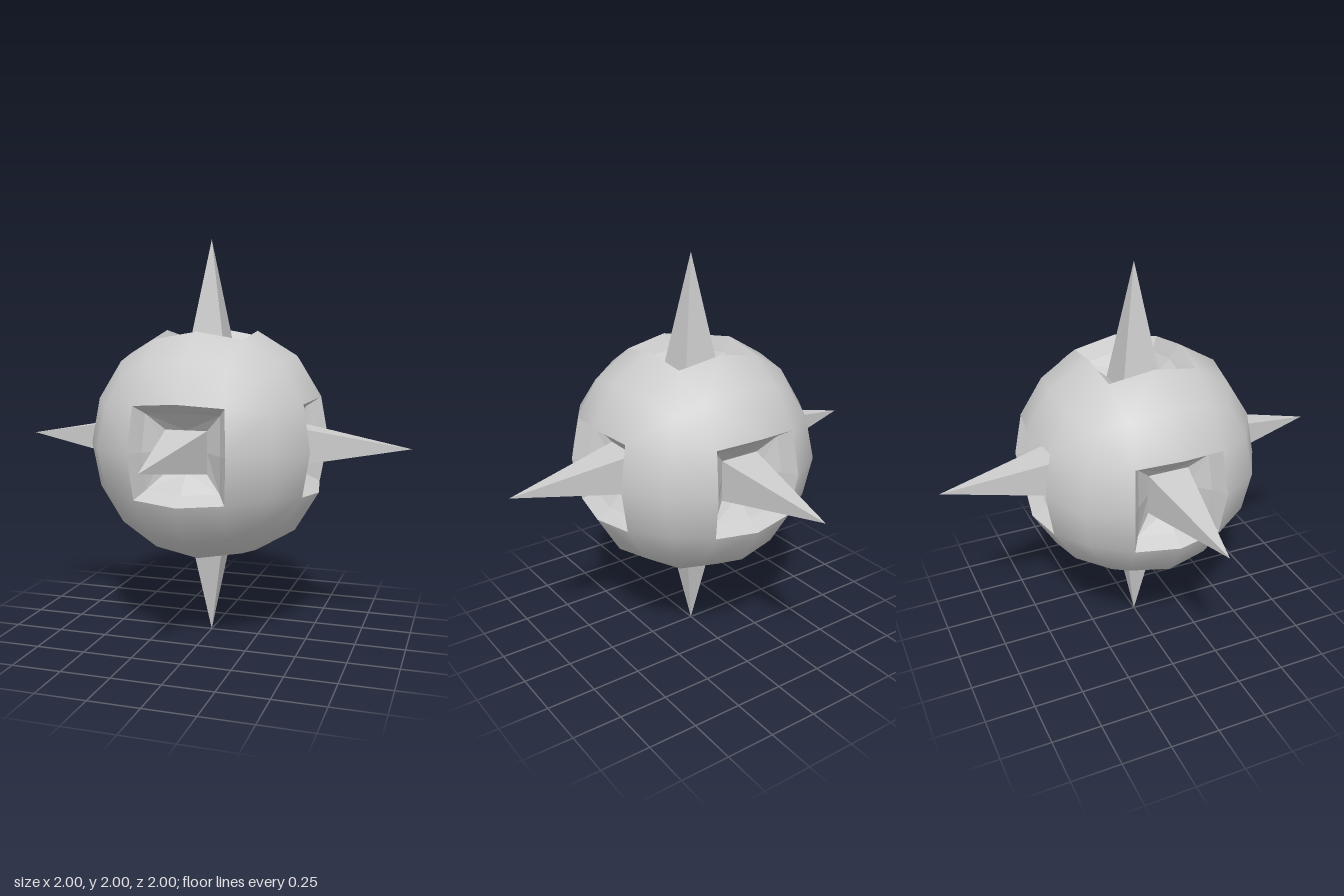
import * as THREE from 'three';

const material = new THREE.MeshStandardMaterial({ color: 0xcccccc });
const flatMaterial = new THREE.MeshStandardMaterial({ color: 0xcccccc, flatShading: true });

// Rounded-cube lattice for one +z face: [along i, along j, outward], keyed by |i||j|
const LATTICE = {
  '10': [0.237, 0, 0.555], '11': [0.221, 0.221, 0.517],
  '20': [0.436, 0, 0.436], '21': [0.406, 0.204, 0.406], '22': [0.345, 0.345, 0.345],
};

function latticePoint(i, j) {
  const a = Math.abs(i), b = Math.abs(j);
  const [major, minor, out] = LATTICE[`${Math.max(a, b)}${Math.min(a, b)}`];
  return [Math.sign(i) * (a >= b ? major : minor), Math.sign(j) * (a >= b ? minor : major), out];
}

function quadGeometry(quads) {
  const geometry = new THREE.BufferGeometry();
  const positions = quads.flatMap(([a, b, c, d]) => [a, b, c, a, c, d]).flat();
  geometry.setAttribute('position', new THREE.Float32BufferAttribute(positions, 3));
  geometry.computeVertexNormals();
  return geometry;
}

// Curved shell panel: 4 x 4 cells with the middle 2 x 2 left open
function shellGeometry() {
  const quads = [];
  for (let i = -2; i < 2; i++) {
    for (let j = -2; j < 2; j++) {
      if (i >= -1 && i < 1 && j >= -1 && j < 1) continue;
      const q = [latticePoint(i, j), latticePoint(i + 1, j), latticePoint(i + 1, j + 1), latticePoint(i, j + 1)];
      // Start at the corner that sends the diagonal across the cell symmetrically
      quads.push(i * 2 + 1 > 0 === j * 2 + 1 > 0 ? q : [q[1], q[2], q[3], q[0]]);
    }
  }
  const geometry = quadGeometry(quads);
  // Radial normals keep the ball smooth across panel seams
  const p = geometry.attributes.position, v = new THREE.Vector3();
  for (let k = 0; k < p.count; k++) {
    v.fromBufferAttribute(p, k).normalize();
    geometry.attributes.normal.setXYZ(k, v.x, v.y, v.z);
  }
  return geometry;
}

// Eight-point square ring with slightly bowed sides
function ring(mid, midZ, corner, cornerZ) {
  const steps = [[1, 0], [1, 1], [0, 1], [-1, 1], [-1, 0], [-1, -1], [0, -1], [1, -1]];
  return steps.map(([x, y]) => (x && y ? [x * corner, y * corner, cornerZ] : [x * mid, y * mid, midZ]));
}

// Sunken socket: steep wall, then a sloping floor down to the spike
function socketGeometry() {
  const rings = [
    ring(0.237, 0.555, 0.221, 0.517),
    ring(0.191, 0.485, 0.181, 0.455),
    ring(0.102, 0.4, 0.102, 0.4),
  ];
  const quads = [];
  for (let r = 0; r < 2; r++) {
    for (let k = 0; k < 8; k++) {
      const n = (k + 1) % 8, outer = rings[r], inner = rings[r + 1];
      const q = [outer[k], outer[n], inner[n], inner[k]];
      quads.push(k % 2 ? q : [q[1], q[2], q[3], q[0]]);
    }
  }
  return quadGeometry(quads);
}

// Four-sided spike rising along +z from the socket floor
function spikeGeometry() {
  return new THREE.ConeGeometry(0.102 * Math.SQRT2, 0.6, 4, 1, true)
    .rotateY(Math.PI / 4).rotateX(Math.PI / 2).translate(0, 0, 0.7);
}

export function createModel() {
  const model = new THREE.Group();
  model.name = 'spikedBall';
  const parts = [
    ['shellPanel', shellGeometry(), material],
    ['socket', socketGeometry(), flatMaterial],
    ['spike', spikeGeometry(), flatMaterial],
  ];
  const h = Math.PI / 2;
  const sides = {
    front: [0, 0], left: [0, h], back: [0, 2 * h], right: [0, -h], top: [-h, 0], bottom: [h, 0],
  };
  for (const [side, [rx, ry]] of Object.entries(sides)) {
    const group = new THREE.Group();
    group.name = `${side}Side`;
    group.rotation.set(rx, ry, 0);
    group.position.y = 1;
    for (const [name, geometry, mat] of parts) {
      const mesh = new THREE.Mesh(geometry, mat);
      mesh.name = name;
      group.add(mesh);
    }
    model.add(group);
  }
  return model;
}
